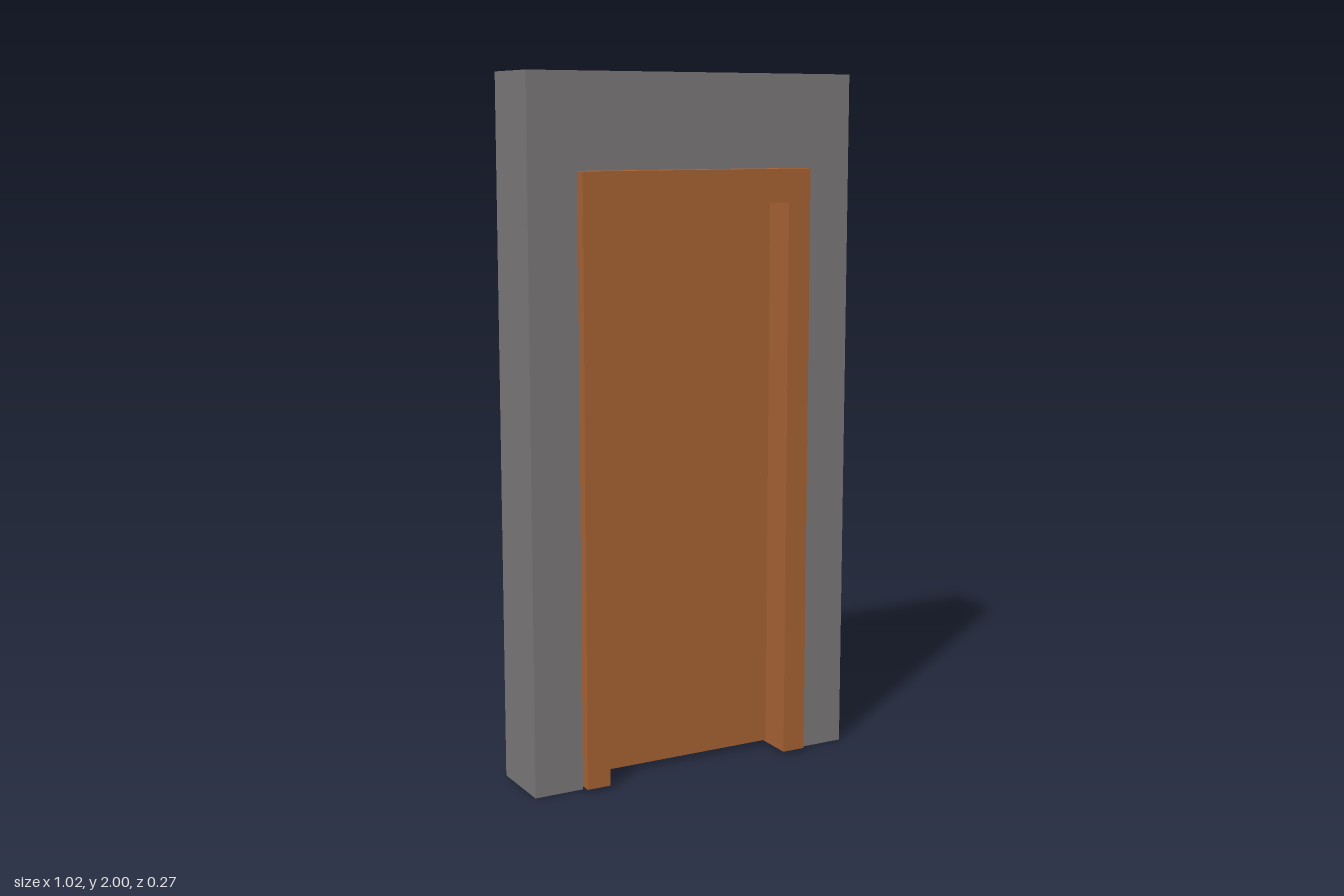
import * as THREE from 'three';

// Extruded upside-down U (two legs and a header), centred on z = 0
function archway(outer, inner, bottom, top, innerTop, depth) {
  const shape = new THREE.Shape([
    [-outer, bottom], [-inner, bottom], [-inner, innerTop], [inner, innerTop],
    [inner, bottom], [outer, bottom], [outer, top], [-outer, top],
  ].map(([x, y]) => new THREE.Vector2(x, y)));
  const geo = new THREE.ExtrudeGeometry(shape, { depth, bevelEnabled: false });
  return geo.translate(0, 0, -depth / 2);
}

// Drops the triangles lying flat at the given height
function openBottom(geo, height) {
  const src = geo.index ? geo.toNonIndexed() : geo;
  const p = src.attributes.position;
  const kept = [];
  for (let i = 0; i < p.count; i += 3) {
    const flat = [0, 1, 2].every((k) => Math.abs(p.getY(i + k) - height) < 1e-5);
    if (flat) continue;
    for (let k = 0; k < 3; k++) kept.push(p.getX(i + k), p.getY(i + k), p.getZ(i + k));
  }
  const out = new THREE.BufferGeometry();
  out.setAttribute('position', new THREE.Float32BufferAttribute(kept, 3));
  out.computeVertexNormals();
  return out;
}

export function createModel() {
  const group = new THREE.Group();
  const gray = new THREE.MeshStandardMaterial({ color: 0x7b7979 });
  gray.name = 'wallGray';
  const wood = new THREE.MeshStandardMaterial({ color: 0xa86434, side: THREE.DoubleSide });
  wood.name = 'wood';

  const add = (name, geo, mat) => {
    const mesh = new THREE.Mesh(geo, mat);
    mesh.name = name;
    group.add(mesh);
    return mesh;
  };

  // Wall section around the doorway
  add('wall', archway(0.508, 0.361, 0, 2, 1.736, 0.206), gray);

  // Door frame, standing proud of both wall faces, with hollow legs open below
  add('doorFrame', openBottom(archway(0.36, 0.289, 0.008, 1.735, 1.64, 0.266), 0.008), wood);

  // Plain door slab in the middle of the frame
  add('door', new THREE.BoxGeometry(0.579, 1.626, 0.06), wood).position.y = 0.827;

  return group;
}
